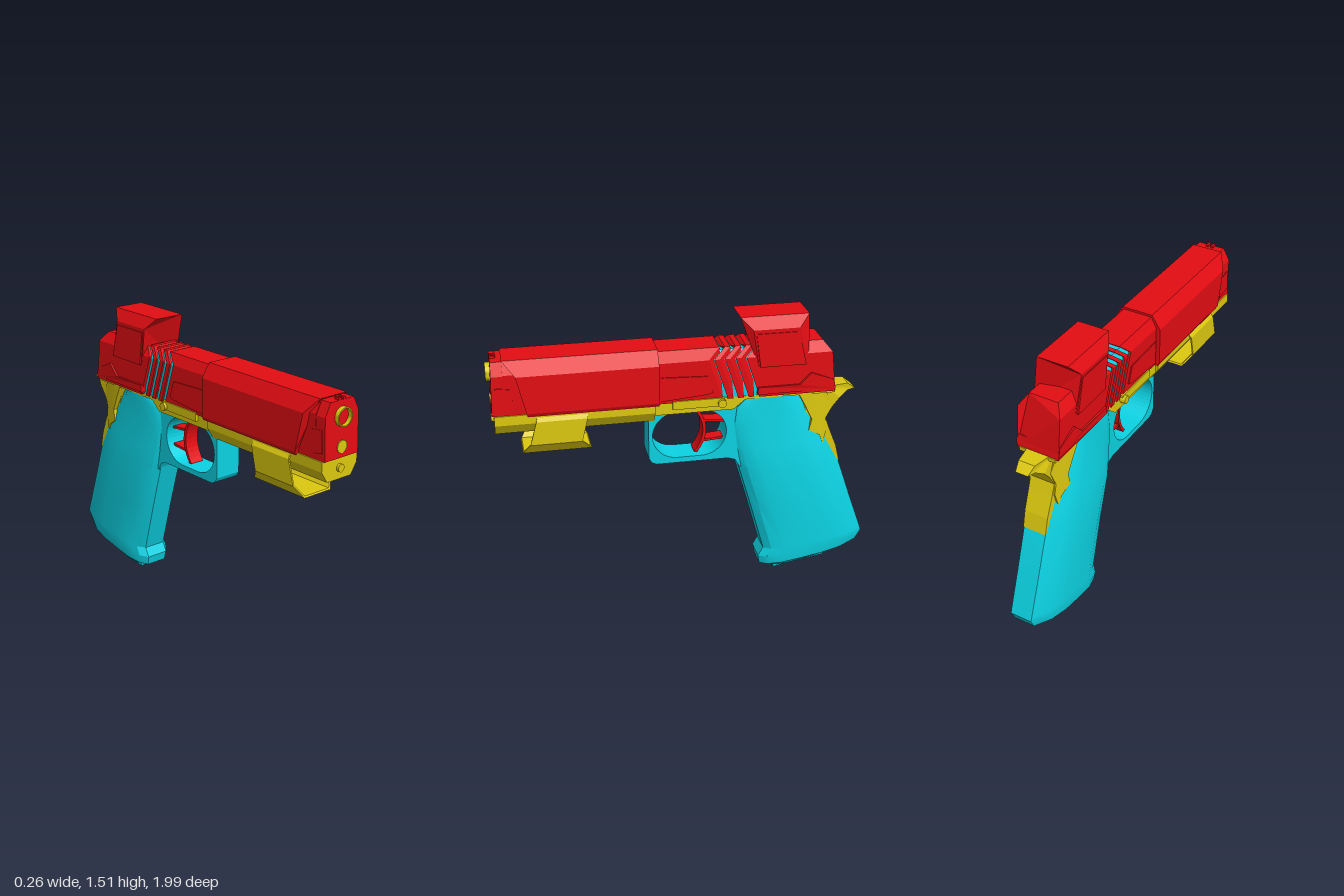
import * as THREE from 'three';
import { toCreasedNormals } from 'three/addons/utils/BufferGeometryUtils.js';

const mat = (color) => new THREE.MeshStandardMaterial({ color });
const RED = mat(0xe30d13), CYAN = mat(0x0cd3e3), YELLOW = mat(0xdcc80f);
RED.side = CYAN.side = YELLOW.side = THREE.DoubleSide;

// Piecewise linear lookup through [key, value] pairs with rising keys
const along = (pts) => (k) => {
  if (k <= pts[0][0]) return pts[0][1];
  for (let i = 1; i < pts.length; i++) {
    const [a, va] = pts[i - 1], [b, vb] = pts[i];
    if (k <= b) return va + (vb - va) * (k - a) / (b - a);
  }
  return pts[pts.length - 1][1];
};
const toFn = (v) => Array.isArray(v) ? along(v) : typeof v === 'function' ? v : () => v;
const toShape = (pts) => new THREE.Shape(pts.map((p) => new THREE.Vector2(p[0], p[1])));

export function createModel() {
  const model = new THREE.Group();
  const add = (name, geometry, material, parent = model) => {
    const mesh = new THREE.Mesh(geometry, material);
    mesh.name = name;
    parent.add(mesh);
    return mesh;
  };

  // Mirrored half cross-section [x, y] run along z; each end follows z(y)
  const body = (name, material, half, back, front) => {
    const ring = [...half, ...half.map(([x, y]) => [-x, y]).reverse()];
    const g = new THREE.ExtrudeGeometry(toShape(ring), { depth: 1, bevelEnabled: false });
    const p = g.attributes.position, zb = toFn(back), zf = toFn(front);
    for (let i = 0; i < p.count; i++) p.setZ(i, (p.getZ(i) > 0.5 ? zf : zb)(p.getY(i)));
    g.computeVertexNormals();
    return add(name, g, material);
  };

  // Side profile [z, y] given a width across x, constant or as a function of z
  const plate = (name, material, profile, halfWidth) => {
    const shape = Array.isArray(profile) ? toShape(profile) : profile;
    const g = new THREE.ExtrudeGeometry(shape, { depth: 2, bevelEnabled: false, curveSegments: 10 });
    g.translate(0, 0, -1).rotateY(-Math.PI / 2);
    const p = g.attributes.position, w = toFn(halfWidth);
    for (let i = 0; i < p.count; i++) p.setX(i, Math.sign(p.getX(i)) * w(p.getZ(i)));
    g.computeVertexNormals();
    return add(name, g, material);
  };

  // Slide: front length, chevron ribs over a cyan core, rear block
  const slideHalf = [[0.108, 1.085], [0.11, 1.305], [0.08, 1.36]];
  const chevron = (z) => [[1.085, z - 0.075], [1.305, z], [1.36, z - 0.06]];
  const first = -0.105, pitch = 0.055, gap = 0.027;
  body('slideFront', RED, slideHalf, chevron(first), 0.92);
  for (let i = 0; i < 3; i++) {
    body('slideRib', RED, slideHalf, chevron(first - pitch * (i + 1)), chevron(first - pitch * i - gap));
  }
  body('slideCore', CYAN, [[0.098, 1.09], [0.1, 1.3], [0.075, 1.345]], -0.42, -0.08);
  body('slideRear', RED, [[0.115, 1.085], [0.115, 1.305], [0.08, 1.36]],
    [[1.085, -0.775], [1.305, -0.75], [1.36, -0.705]], chevron(first - pitch * 3 - gap));
  body('slideShroud', RED, [[0.122, 1.08], [0.132, 1.1], [0.132, 1.3], [0.085, 1.372]], 0.15,
    [[1.08, 0.81], [1.1, 0.815], [1.3, 0.86], [1.372, 0.92]]);
  body('muzzleBlock', RED, [[0.108, 1.09], [0.108, 1.3], [0.075, 1.365]], 0.85,
    [[1.09, 0.985], [1.365, 0.975]]);
  plate('muzzlePanel', RED, [[0.97, 1.13], [0.87, 1.11], [0.89, 1.23], [0.96, 1.24]], 0.112);
  plate('ejectionPanel', RED, [[0.14, 1.1], [-0.1, 1.12], [-0.13, 1.13], [-0.1, 1.22], [0.14, 1.23]], 0.115);
  plate('rearPanel', RED, [[-0.36, 1.1], [-0.775, 1.1], [-0.765, 1.15], [-0.64, 1.2], [-0.58, 1.14], [-0.36, 1.14]],
    [[-0.78, 0.118], [-0.6, 0.126]]);
  for (const s of [-1, 1]) {
    add('frontSight', new THREE.BoxGeometry(0.014, 0.02, 0.03), RED).position.set(s * 0.014, 1.367, 0.96);
  }

  // Barrel mouth, guide rod and frame pin
  const barrel = new THREE.LatheGeometry([[0.041, -0.05], [0.041, 0.02], [0.047, 0.02], [0.047, -0.05]]
    .map((p) => new THREE.Vector2(...p)), 32).rotateX(Math.PI / 2);
  add('barrel', toCreasedNormals(barrel, 0.6), YELLOW).position.set(0, 1.288, 0.98);
  const pin = (name, r, y, z) => add(name,
    new THREE.CylinderGeometry(r, r, 0.04, 24).rotateX(Math.PI / 2), YELLOW).position.set(0, y, z - 0.02);
  pin('guideRod', 0.031, 1.143, 0.988);
  pin('framePin', 0.02, 1.038, 0.988);

  // Frame with dust cover, rails and slide stop
  body('dustCover', YELLOW, [[0.078, 0.982], [0.115, 1.04], [0.115, 1.09]], 0.17, 0.975);
  plate('frameRail', YELLOW, [[0.2, 1.09], [0.2, 1.02], [-0.24, 1.02], [-0.3, 1.07], [-0.6, 1.07], [-0.78, 1.07], [-0.78, 1.09]], 0.1);
  plate('slideStop', YELLOW, [[0.08, 1.095], [0.08, 1.05], [-0.19, 1.05], [-0.19, 1.095]], 0.115);
  const knob = new THREE.CylinderGeometry(0.022, 0.022, 0.26, 12).rotateZ(Math.PI / 2);
  add('slideStopKnob', toCreasedNormals(knob, 0.7), YELLOW).position.set(0, 1.068, -0.175);

  // Hollow under-barrel bracket, open front and back
  body('underBracket', YELLOW, [[0.079, 0.873], [0.12, 0.928], [0.12, 1.05], [0.105, 1.07],
    [0.115, 1.07], [0.128, 1.05], [0.128, 0.925], [0.085, 0.865]].map((p) => p),
    [[0.865, 0.495], [0.925, 0.545], [1.07, 0.51]], [[0.865, 0.844], [0.925, 0.806], [1.07, 0.765]]);

  // Optic hood
  body('opticHood', RED, [[0.115, 1.24], [0.121, 1.45], [0.085, 1.51]],
    [[1.24, -0.625], [1.45, -0.57], [1.51, -0.625]], [[1.24, -0.365], [1.45, -0.33], [1.51, -0.27]]);
  plate('opticPanel', RED, [[-0.37, 1.25], [-0.61, 1.25], [-0.565, 1.43], [-0.345, 1.43]], 0.125);

  // Trigger guard with rounded opening
  const guard = toShape([[0.17, 1.02], [0.2, 0.98], [0.2, 0.765], [0.185, 0.74], [0.16, 0.728], [-0.22, 0.728],
    [-0.26, 0.715], [-0.285, 0.67], [-0.4, 0.72], [-0.4, 1.03], [-0.2, 1.03]]);
  const hole = new THREE.Path(), r = 0.125;
  hole.absarc(0.05, 0.888, r + 0.005, Math.PI / 2, -Math.PI / 2, true);
  hole.absarc(-0.08, 0.888, r + 0.005, -Math.PI / 2, -Math.PI * 1.5, true);
  guard.holes.push(hole);
  plate('triggerGuard', CYAN, guard, 0.075);

  // Curved trigger blade with two bars
  const blade = new THREE.Shape();
  blade.moveTo(-0.045, 1.01);
  blade.quadraticCurveTo(-0.14, 0.89, -0.045, 0.765);
  blade.lineTo(-0.062, 0.762);
  blade.quadraticCurveTo(-0.158, 0.89, -0.062, 1.013);
  plate('triggerBlade', RED, blade, 0.04);
  for (const [y, tilt] of [[0.935, 0.01], [0.84, -0.01]]) {
    plate('triggerBar', RED, [[-0.09, y + tilt], [-0.21, y], [-0.21, y - 0.013], [-0.09, y + tilt - 0.013]], 0.035);
  }

  // Grip: rounded rings [front z, front y, back z, back y, half width]
  const rings = [
    [-0.48, 0.022, -0.93, 0.125, 0.09], [-0.415, 0.045, -0.965, 0.138, 0.112],
    [-0.405, 0.095, -0.993, 0.195, 0.12], [-0.432, 0.145, -0.985, 0.22, 0.121],
    [-0.355, 0.42, -0.91, 0.43, 0.122], [-0.28, 0.675, -0.832, 0.655, 0.124],
    [-0.255, 0.77, -0.765, 0.81, 0.113], [-0.225, 0.92, -0.69, 0.94, 0.1],
    [-0.24, 1.02, -0.63, 1.02, 0.098], [-0.3, 1.075, -0.59, 1.075, 0.096]];
  const side = [[0, 0.52], [0.07, 0.8], [0.2, 0.97], [0.4, 1], [0.62, 1], [0.82, 0.87], [1, 0.5]];
  const loop = [...side, ...side.map(([u, x]) => [u, -x]).reverse()], n = loop.length;
  const pos = [], idx = [];
  for (const [zf, yf, zb, yb, w] of rings) {
    for (const [u, x] of loop) pos.push(x * w, yf + (yb - yf) * u, zf + (zb - zf) * u);
  }
  for (let k = 0; k < rings.length - 1; k++) {
    for (let i = 0; i < n; i++) {
      const a = k * n + i, b = k * n + (i + 1) % n;
      idx.push(a, a + n, b, b, a + n, b + n);
    }
  }
  const top = (rings.length - 1) * n;
  for (let i = 1; i < n - 1; i++) idx.push(0, i, i + 1, top, top + i + 1, top + i);
  // Ring order runs front to back on +x, so turn the faces outward
  for (let i = 0; i < idx.length; i += 3) {
    const [A, B, C] = [0, 1, 2].map((j) => new THREE.Vector3().fromArray(pos, idx[i + j] * 3));
    const normal = B.clone().sub(A).cross(C.clone().sub(A));
    const mid = A.add(B).add(C).divideScalar(3);
    const t = THREE.MathUtils.clamp(mid.y, 0.1, 1.03);
    const axis = new THREE.Vector3(0, t, -0.42 - 0.3 * (1.03 - t));
    if (normal.dot(mid.sub(axis)) < 0) [idx[i + 1], idx[i + 2]] = [idx[i + 2], idx[i + 1]];
  }
  const grip = new THREE.BufferGeometry();
  grip.setAttribute('position', new THREE.Float32BufferAttribute(pos, 3));
  grip.setIndex(idx);
  add('grip', toCreasedNormals(grip, 0.45), CYAN);
  plate('magazineBase', CYAN, [[-0.5, 0.06], [-0.5, 0.0], [-0.78, 0.06], [-0.78, 0.12]],
    [[-0.78, 0.06], [-0.7, 0.075], [-0.5, 0.045]]);

  // Beavertail safety: swept tail and backstrap, with wider cheeks at the frame
  plate('beavertail', YELLOW, [[-0.6, 1.07], [-0.65, 1.125], [-0.69, 1.115], [-0.74, 1.09], [-0.865, 1.09],
    [-0.91, 1.055], [-0.865, 1.05], [-0.82, 1.02], [-0.78, 0.97], [-0.748, 0.91], [-0.77, 0.85],
    [-0.815, 0.74], [-0.837, 0.65], [-0.79, 0.69], [-0.7, 0.85], [-0.64, 0.95]],
  [[-0.91, 0.034], [-0.865, 0.045], [-0.84, 0.064], [-0.74, 0.068]]);
  plate('safetyCheek', YELLOW, [[-0.58, 1.085], [-0.65, 1.125], [-0.74, 1.07], [-0.775, 0.99], [-0.745, 0.91],
    [-0.755, 0.85], [-0.735, 0.77], [-0.715, 0.82], [-0.65, 0.86], [-0.665, 0.92], [-0.62, 1.01]],
  [[-0.78, 0.066], [-0.7, 0.088], [-0.58, 0.104]]);

  return model;
}
